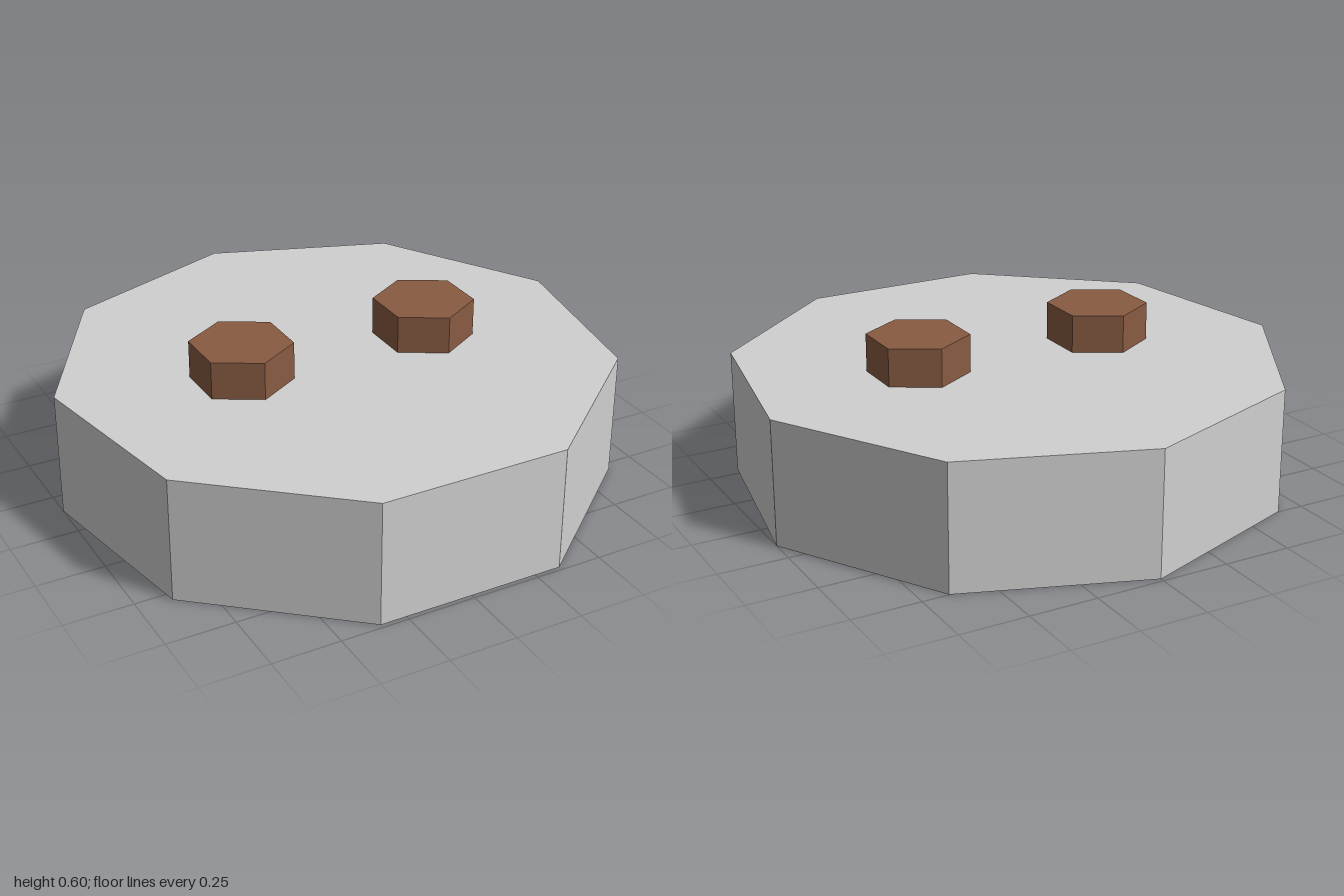
import * as THREE from 'three';

const CENTRE_Z = 0.03;

// Faceted upright prism standing on a given height
function prism(name, radius, sides, height, x, y, turn, material) {
  const geometry = new THREE.CylinderGeometry(radius, radius, height, sides, 1, false, turn);
  const mesh = new THREE.Mesh(geometry, material);
  mesh.name = name;
  mesh.position.set(x, y + height / 2, CENTRE_Z);
  return mesh;
}

export function createModel() {
  const group = new THREE.Group();
  group.name = 'discWithStuds';

  const grey = new THREE.MeshStandardMaterial({ color: 0xd0d0d0, flatShading: true });
  grey.name = 'light grey';
  const brown = new THREE.MeshStandardMaterial({ color: 0x885b42, flatShading: true });
  brown.name = 'brown';

  // Nine-sided base with one corner pointing back
  group.add(prism('base', 1.0154, 9, 0.46, 0, 0, Math.PI, grey));

  // Pair of hexagonal studs on top
  for (const [name, x] of [['leftStud', 0.368], ['rightStud', -0.368]]) {
    group.add(prism(name, 0.184, 6, 0.14, x, 0.46, 0, brown));
  }
  return group;
}
